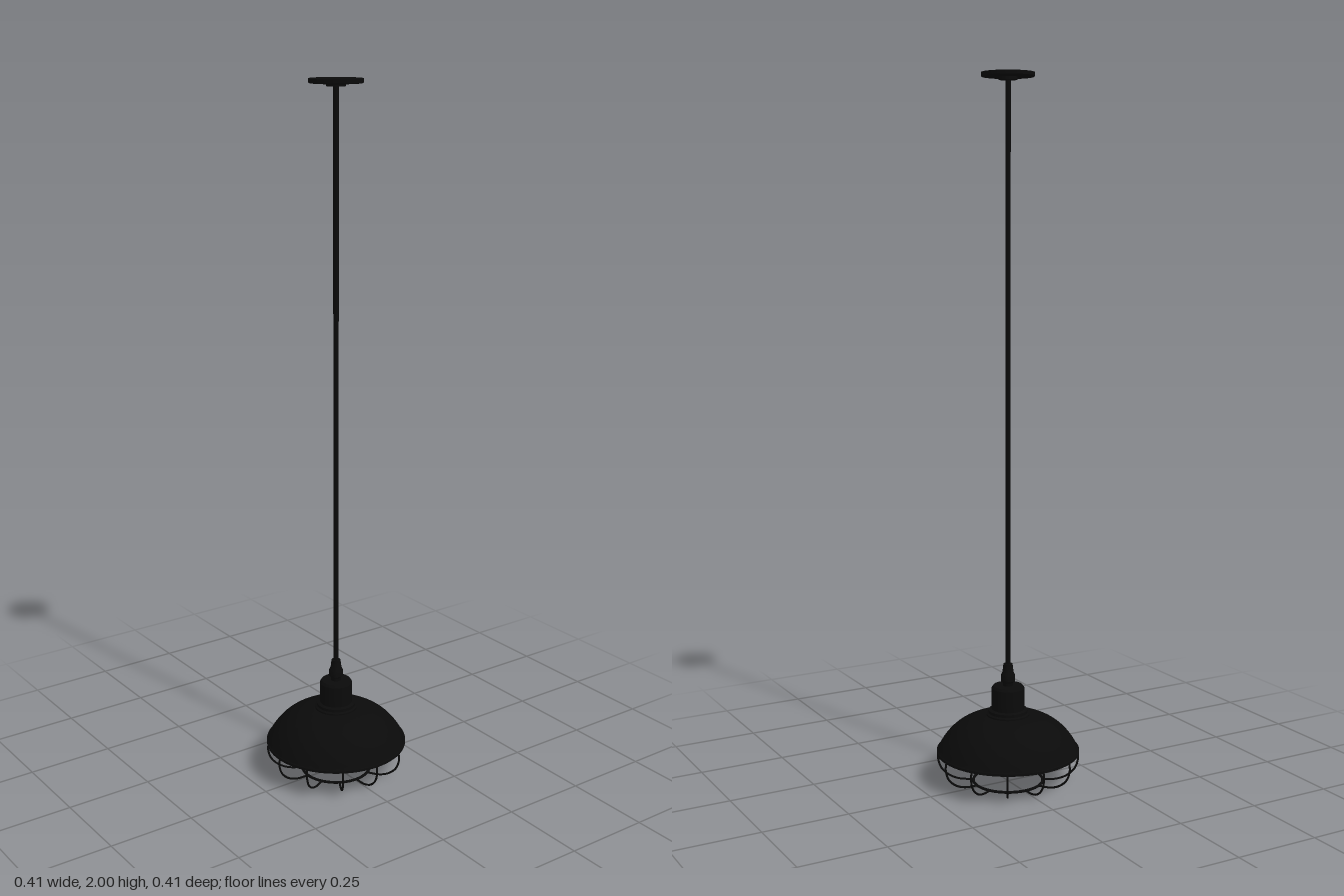
import * as THREE from 'three';
import { toCreasedNormals } from 'three/addons/utils/BufferGeometryUtils.js';

const black = new THREE.MeshStandardMaterial({ color: 0x0a0a0a, side: THREE.DoubleSide });

function add(parent, name, geometry) {
  const mesh = new THREE.Mesh(geometry, black);
  mesh.name = name;
  parent.add(mesh);
  return mesh;
}

// Turned part from [radius, height] pairs, listed from bottom to top
function turned(parent, name, profile, segments = 48) {
  const points = profile.map(([r, y]) => new THREE.Vector2(r, y));
  return add(parent, name, toCreasedNormals(new THREE.LatheGeometry(points, segments), 0.6));
}

export function createModel() {
  const lamp = new THREE.Group();
  lamp.name = 'pendantLamp';

  // Ceiling plate with a small collar, and the long rod
  turned(lamp, 'ceilingPlate', [
    [0, 1.98], [0.026, 1.98], [0.026, 1.988], [0.071, 1.988],
    [0.073, 1.99], [0.073, 2], [0, 2],
  ], 64);
  turned(lamp, 'rod', [[0.0075, 0.33], [0.0075, 1.985]], 20);

  // Cord grip: tapered nut above the socket housing
  turned(lamp, 'cordGrip', [
    [0.014, 0.28], [0.015, 0.295], [0.02, 0.3], [0.02, 0.318],
    [0.016, 0.326], [0.013, 0.35], [0, 0.35],
  ], 24);

  // Cylindrical housing with a stepped base
  turned(lamp, 'socketHousing', [
    [0.062, 0.195], [0.062, 0.204], [0.056, 0.207], [0.056, 0.215],
    [0.047, 0.218], [0.047, 0.279], [0.042, 0.286], [0, 0.286],
  ]);

  // Domed shade: outer curve up, then inner curve down
  const dome = new THREE.CubicBezierCurve(
    new THREE.Vector2(0.202, 0.099), new THREE.Vector2(0.178, 0.148),
    new THREE.Vector2(0.135, 0.192), new THREE.Vector2(0.06, 0.2),
  ).getPoints(20).map((p) => [p.x, p.y]);
  const inside = dome.map(([r, y]) => [r - 0.004, y - 0.004]).reverse();
  turned(lamp, 'shade', [
    [0.201, 0.09], [0.205, 0.09], [0.205, 0.097], ...dome,
    [0, 0.2], [0, 0.196], ...inside, [0.201, 0.09],
  ], 96);

  // Lamp holder inside the shade
  turned(lamp, 'lampHolder', [
    [0, 0.165], [0.02, 0.165], [0.02, 0.135], [0.027, 0.135], [0.027, 0.197],
  ], 32);

  // Wire cage: twelve curved wires joined by a bottom ring
  const cage = new THREE.Group();
  cage.name = 'wireCage';
  const wirePath = new THREE.CatmullRomCurve3([
    [0.198, 0.098], [0.202, 0.07], [0.193, 0.04], [0.17, 0.018], [0.14, 0.007], [0.1, 0.005],
  ].map(([r, y]) => new THREE.Vector3(r, y, 0)));
  const wireGeometry = new THREE.TubeGeometry(wirePath, 24, 0.003, 8);
  for (let i = 0; i < 12; i++) {
    add(cage, 'cageWire', wireGeometry).rotation.y = (i * Math.PI) / 6;
  }
  const ring = add(cage, 'cageRing', new THREE.TorusGeometry(0.1, 0.004, 10, 64));
  ring.rotation.x = Math.PI / 2;
  ring.position.y = 0.004;
  lamp.add(cage);

  return lamp;
}
